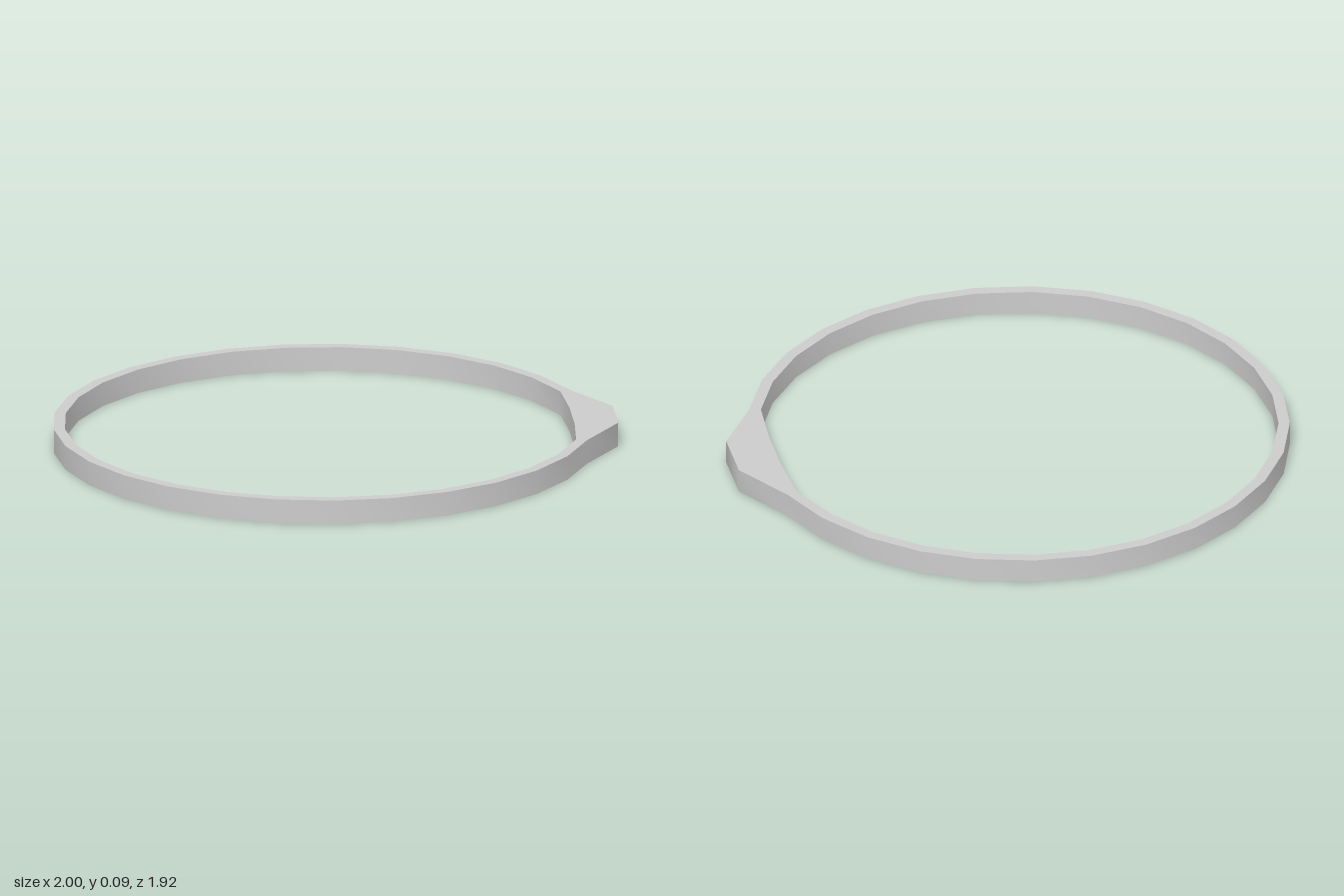
import * as THREE from 'three';
import { toCreasedNormals } from 'three/addons/utils/BufferGeometryUtils.js';

const SIDES = 29, CENTRE_X = -0.04, HEIGHT = 0.087;

// Counter-clockwise polygon starting at -x; the two corners nearest +x are moved to tipX
function outline(radius, tipX) {
  const points = [];
  for (let k = 0; k < SIDES; k++) {
    const a = Math.PI + (k / SIDES) * Math.PI * 2;
    const atTip = k === 14 || k === 15;
    const x = atTip ? tipX : CENTRE_X + radius * Math.cos(a);
    points.push(new THREE.Vector2(x, radius * Math.sin(a)));
  }
  return points;
}

export function createModel() {
  const group = new THREE.Group();
  group.name = 'ring';

  // Thin band that swells into a flat-ended lug at +x
  const shape = new THREE.Shape(outline(0.96, 1));
  shape.holes.push(new THREE.Path(outline(0.92, 0.845)));
  const geometry = new THREE.ExtrudeGeometry(shape, { depth: HEIGHT, bevelEnabled: false });
  geometry.rotateX(-Math.PI / 2);

  const band = new THREE.Mesh(
    toCreasedNormals(geometry, 0.7),
    new THREE.MeshStandardMaterial({ color: 0xcccccc })
  );
  band.name = 'bandWithLug';
  group.add(band);
  return group;
}
